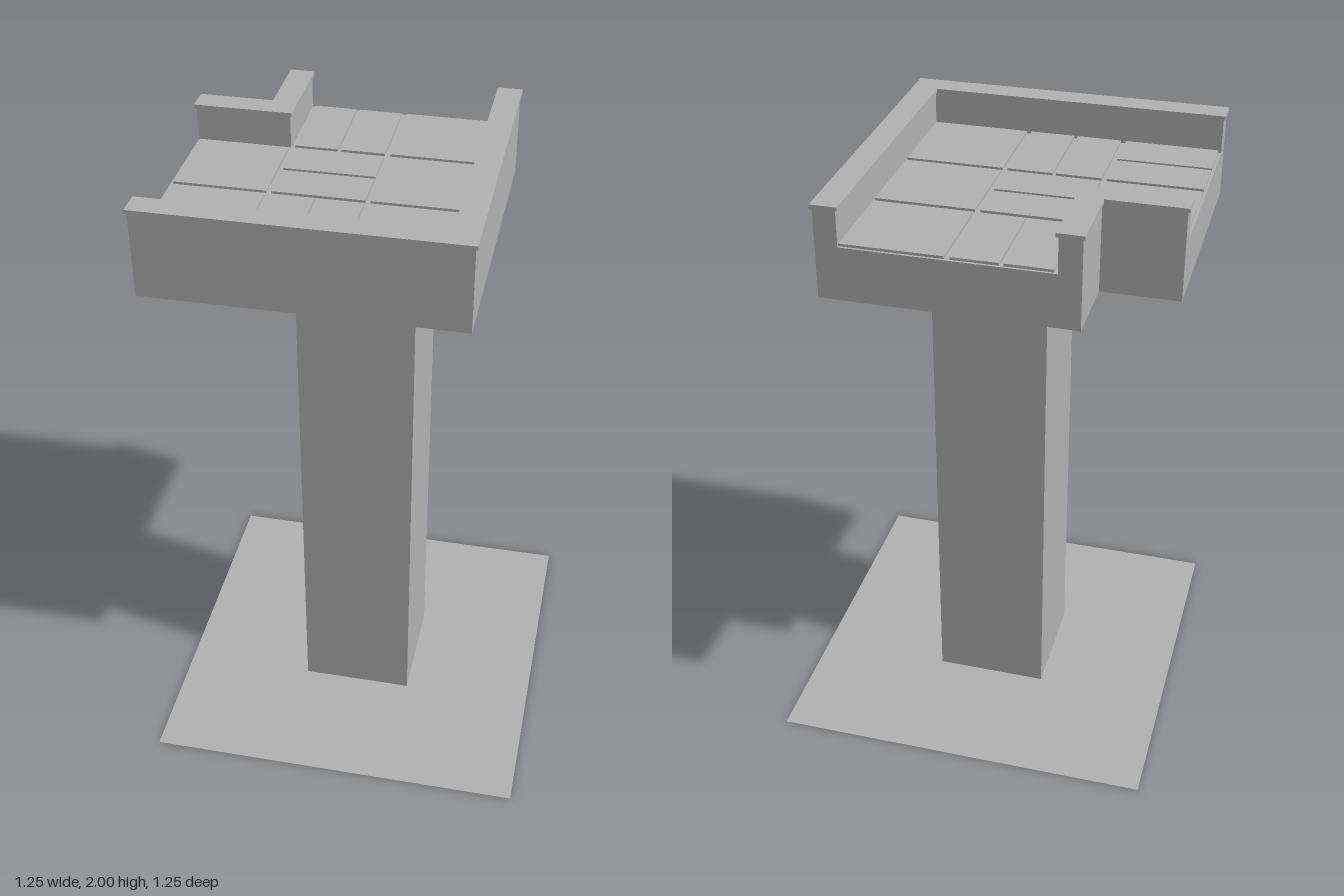
import * as THREE from 'three';

const FLOOR = 1.876, WALL_TOP = 1.988, TOP = 2, BOTTOM = 1.71, EDGE = 0.622;

export function createModel() {
  const model = new THREE.Group();
  const stone = new THREE.MeshStandardMaterial({ color: 0xb2b2b2, side: THREE.DoubleSide });
  stone.name = 'grey stone';

  const add = (name, geometry) => {
    const mesh = new THREE.Mesh(geometry, stone);
    mesh.name = name;
    model.add(mesh);
    return mesh;
  };
  // Upright prism from an [x, z] outline between two heights
  const prism = (name, outline, y0, y1) => {
    const shape = new THREE.Shape(outline.map(([x, z]) => new THREE.Vector2(x, -z)));
    const geometry = new THREE.ExtrudeGeometry(shape, { depth: y1 - y0, bevelEnabled: false });
    add(name, geometry.rotateX(-Math.PI / 2).translate(0, y0, 0));
  };
  const box = (name, x0, x1, z0, z1, y0, y1) =>
    prism(name, [[x0, z0], [x1, z0], [x1, z1], [x0, z1]], y0, y1);

  // Ground sheet and square column
  add('groundPlane', new THREE.PlaneGeometry(2 * EDGE, 2 * EDGE).rotateX(-Math.PI / 2));
  box('column', -0.186, 0.186, -0.186, 0.186, 0, BOTTOM);

  // Platform slab with one corner notched out
  const o = 0.382;
  prism('platform', [[-EDGE, o], [o, o], [o, -EDGE], [-o, -EDGE], [-o, -o], [-EDGE, -o]], BOTTOM, FLOOR);

  // L-shaped parapets: e = open end, a = outer face, b = inner face
  const outerL = (e, a, b) => [[-e, a], [a, a], [a, -e], [b, -e], [b, b], [-e, b]];
  const innerL = (e, a, b) => [[-e, -b], [-b, -b], [-b, -e], [-a, -e], [-a, -a], [-e, -a]];
  for (const [label, outline] of [['outer', outerL], ['notch', innerL]]) {
    prism(label + 'Parapet', outline(EDGE, o, 0.314), FLOOR, WALL_TOP);
    prism(label + 'Coping', outline(0.628, 0.388, 0.307), WALL_TOP, TOP);
  }

  // Raised paving: each cell is whole, split across x, or split across z
  const spans = [[-0.614, -0.318], [-0.302, -0.008], [0.008, 0.314]];
  const layout = [
    ['none', 'x', 'whole'],
    ['whole', 'z', 'whole'],
    ['z', 'x', 'whole'],
  ];
  const halves = ([a, b]) => [[a, (a + b) / 2 - 0.006], [(a + b) / 2 + 0.006, b]];
  layout.forEach((row, r) => row.forEach((kind, c) => {
    if (kind === 'none') return;
    const xs = kind === 'x' ? halves(spans[c]) : [spans[c]];
    const zs = kind === 'z' ? halves(spans[r]) : [spans[r]];
    for (const x of xs) for (const z of zs) box('pavingSlab', ...x, ...z, FLOOR, FLOOR + 0.008);
  }));

  return model;
}
